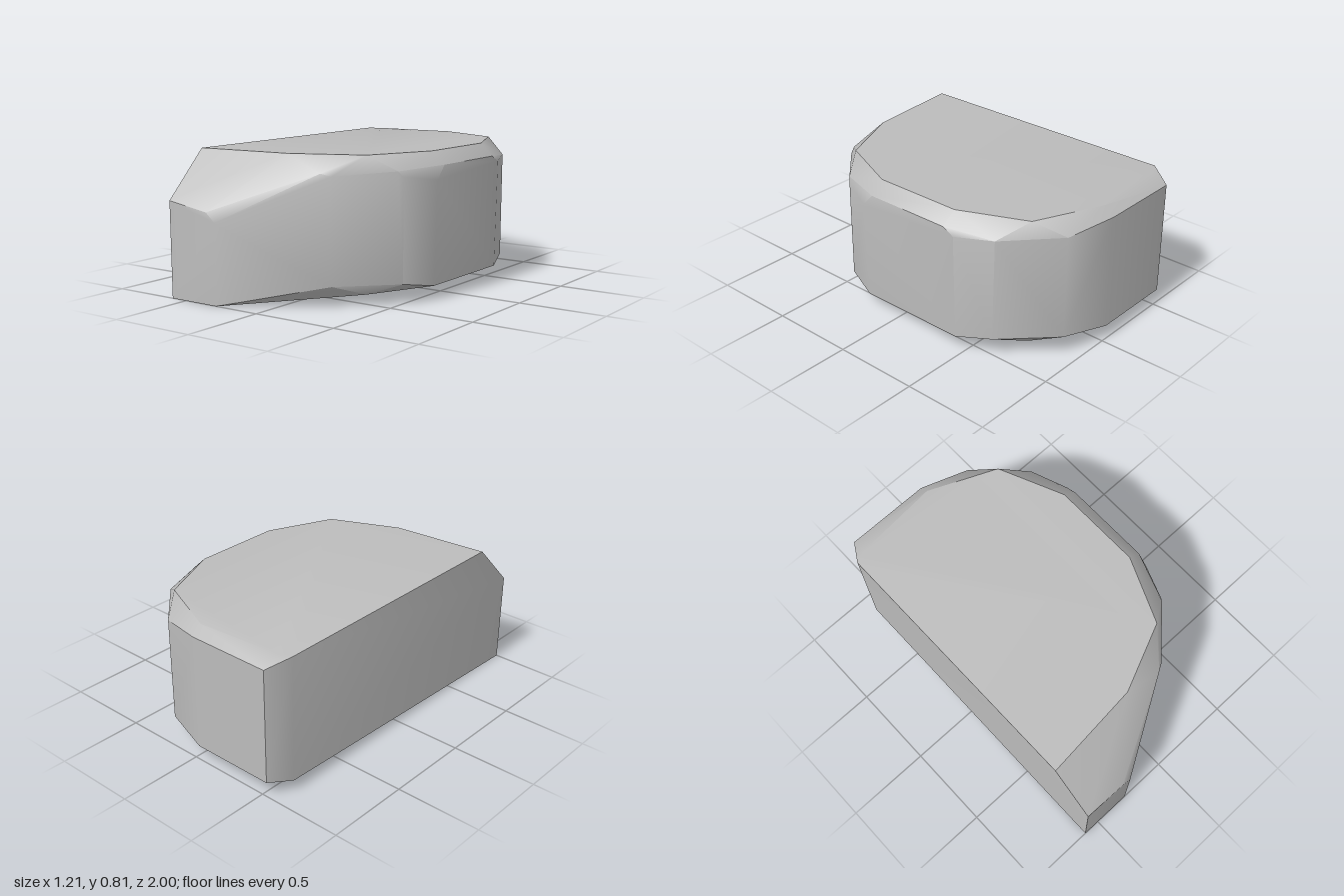
import * as THREE from 'three';
import { ConvexGeometry } from 'three/addons/geometries/ConvexGeometry.js';
import { toCreasedNormals } from 'three/addons/utils/BufferGeometryUtils.js';

export function createModel() {
  const group = new THREE.Group();
  group.name = 'halfRock';

  const stone = new THREE.MeshStandardMaterial({ color: 0xbcbcbc });
  stone.name = 'stoneGrey';

  // Flat top outline
  const top = [
    [-0.605, 0.805, 0.74], [-0.03, 0.805, 0.69], [0.36, 0.805, 0.52],
    [0.525, 0.805, 0.14], [0.525, 0.805, -0.39], [0.36, 0.805, -0.77],
    [-0.03, 0.805, -0.94], [-0.53, 0.805, -0.9], [-0.605, 0.805, -0.87],
  ];
  // Upper edge of the walls, below the chipped bevel
  const shoulder = [
    [-0.605, 0.54, 1], [-0.34, 0.5, 1], [-0.28, 0.45, 1],
    [0.2, 0.715, 0.71], [0.25, 0.7, 0.68], [0.5, 0.72, 0.43], [0.52, 0.69, 0.41],
    [0.605, 0.735, 0.14], [0.605, 0.66, 0.21],
    [0.605, 0.735, -0.38], [0.605, 0.7, -0.45],
    [0.52, 0.715, -0.66], [0.25, 0.72, -0.92],
    [-0.03, 0.755, -1], [-0.53, 0.755, -1],
  ];
  // Lower edge of the walls
  const foot = [
    [0.25, 0.115, 0.68], [0.52, 0.115, 0.41], [0.59, 0.08, 0.21],
    [0.59, 0.08, -0.45], [0.52, 0.115, -0.65], [0.25, 0.115, -0.92],
    [-0.03, 0.085, -1], [-0.53, 0.085, -1], [-0.6, 0.08, -0.87],
  ];
  // Gently sloping underside
  const underside = [
    [-0.6, 0, 1], [-0.28, 0, 1], [0.36, 0.059, 0.52], [0.36, 0.08, -0.77],
    [-0.03, 0.068, -0.94], [-0.53, 0.066, -0.93], [-0.6, 0.064, -0.87],
  ];

  // Faceted body: softly shaded walls, crisp rims
  const points = [...top, ...shoulder, ...foot, ...underside].map((p) => new THREE.Vector3(...p));
  const body = new THREE.Mesh(toCreasedNormals(new ConvexGeometry(points), 0.66), stone);
  body.name = 'rockBody';
  group.add(body);
  return group;
}
